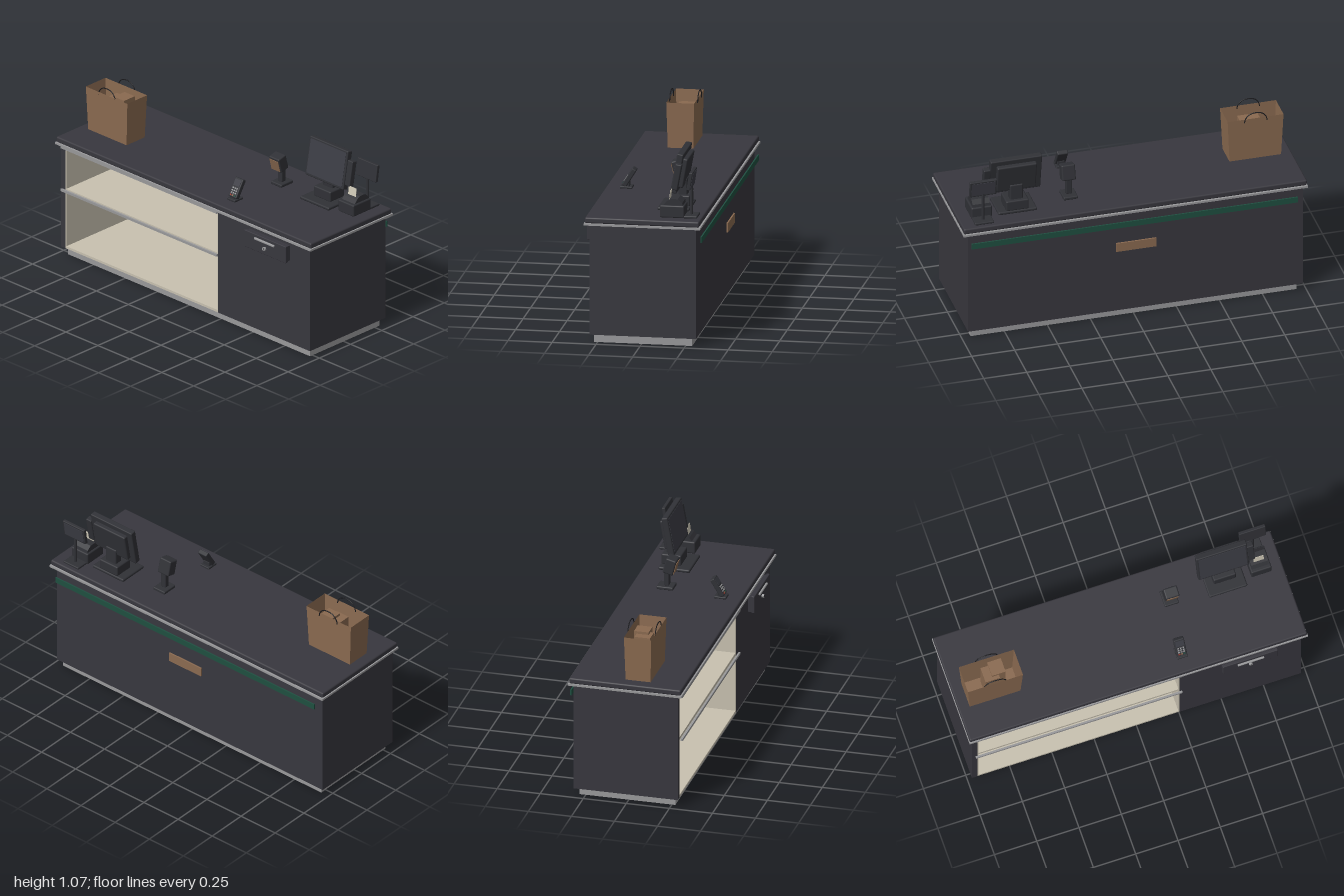
import * as THREE from 'three';
import { RoundedBoxGeometry } from 'three/addons/geometries/RoundedBoxGeometry.js';

const mat = (name, color, side = THREE.FrontSide) => {
  const m = new THREE.MeshStandardMaterial({ color, side });
  m.name = name;
  return m;
};

export function createModel() {
  const root = new THREE.Group();
  root.name = 'checkoutCounter';
  const charcoal = mat('charcoal', 0x38373e);
  const device = mat('devicePlastic', 0x303136);
  const screenMat = mat('screenGlass', 0x3b3c44);
  const cream = mat('creamLining', 0xc8c1b0);
  const steel = mat('steel', 0x98989a);
  const kraft = mat('kraftPaper', 0x8a6a50, THREE.DoubleSide);
  const green = mat('greenStripe', 0x1f4f40);
  const black = mat('blackCord', 0x1b1b1e);
  const paper = mat('receiptPaper', 0xd0cab8, THREE.DoubleSide);
  const red = mat('redKey', 0xa03a30);

  const add = (parent, name, geo, material) => {
    const m = new THREE.Mesh(geo, material);
    m.name = name;
    parent.add(m);
    return m;
  };
  // Box given by its limits on each axis, with optional rounding
  const box = (parent, name, material, [x0, x1], [y0, y1], [z0, z1], r = 0) => {
    const s = [x1 - x0, y1 - y0, z1 - z0];
    const geo = r ? new RoundedBoxGeometry(...s, 2, r) : new THREE.BoxGeometry(...s);
    const m = add(parent, name, geo, material);
    m.position.set((x0 + x1) / 2, (y0 + y1) / 2, (z0 + z1) / 2);
    return m;
  };
  const group = (name, x, y, z, tilt = 0, parent = root) => {
    const g = new THREE.Group();
    g.name = name;
    g.position.set(x, y, z);
    g.rotation.x = tilt;
    parent.add(g);
    return g;
  };

  // Plinth, worktop and the trim under it
  box(root, 'plinth', steel, [-0.947, 0.947], [0, 0.046], [-0.287, 0.27]);
  box(root, 'worktop', charcoal, [-0.997, 0.997], [0.695, 0.729], [-0.334, 0.315], 0.009);
  box(root, 'worktopTrim', steel, [-1, 1], [0.683, 0.695], [-0.34, 0.32]);

  // Cabinet carcass
  const cabinet = group('cabinet', 0, 0, 0);
  box(cabinet, 'closedCabinet', charcoal, [0.25, 0.968], [0.046, 0.683], [-0.312, 0.293]);
  box(cabinet, 'sidePanel', charcoal, [-0.978, -0.945], [0.046, 0.683], [-0.312, 0.293]);
  box(cabinet, 'backPanel', charcoal, [-0.945, 0.25], [0.046, 0.683], [-0.312, -0.295]);

  // Cream-lined open shelving
  const shelving = group('openShelving', 0, 0, 0);
  const zIn = [-0.295, 0.292], xIn = [-0.945, 0.25];
  box(shelving, 'shelfBack', cream, xIn, [0.046, 0.683], [-0.295, -0.288]);
  box(shelving, 'shelfFloor', cream, xIn, [0.046, 0.06], zIn);
  box(shelving, 'shelfCeiling', cream, xIn, [0.672, 0.683], zIn);
  box(shelving, 'middleShelf', cream, xIn, [0.398, 0.416], zIn);
  box(shelving, 'shelfLeftLining', cream, [-0.945, -0.938], [0.046, 0.683], zIn);
  box(shelving, 'shelfRightLining', cream, [0.243, 0.25], [0.046, 0.683], zIn);
  for (const y of [0.403, 0.669])
    box(shelving, 'shelfEdgeRail', steel, [-0.96, 0.26], [y, y + 0.014], [0.305, 0.316]);

  // Cash drawer with handle and lock
  const drawer = group('cashDrawer', 0, 0, 0);
  box(drawer, 'drawerBody', charcoal, [0.497, 0.812], [0.558, 0.65], [0.29, 0.318]);
  box(drawer, 'drawerFront', charcoal, [0.492, 0.818], [0.553, 0.656], [0.314, 0.333], 0.004);
  box(drawer, 'drawerHandle', steel, [0.578, 0.734], [0.627, 0.64], [0.333, 0.345], 0.004);
  const lock = add(drawer, 'drawerLock', new THREE.CylinderGeometry(0.011, 0.011, 0.014, 20), steel);
  lock.position.set(0.655, 0.592, 0.338);
  lock.rotation.x = Math.PI / 2;
  box(drawer, 'keySlot', black, [0.653, 0.657], [0.586, 0.598], [0.345, 0.346]);

  // Details on the customer side
  box(root, 'customerStripe', green, [-0.94, 0.955], [0.598, 0.632], [-0.342, -0.334]);
  box(root, 'woodenPlaque', kraft, [-0.117, 0.117], [0.45, 0.504], [-0.349, -0.34]);

  // Open paper bag, wider at the rim
  const bag = group('paperBag', -0.783, 0.729, 0.05);
  const bagGeo = new THREE.BoxGeometry(0.3, 0.263, 0.145);
  bagGeo.setIndex([...bagGeo.index.array].filter((_, i) => i < 12 || i >= 18)); // leave the top open
  bagGeo.clearGroups();
  const p = bagGeo.attributes.position;
  for (let i = 0; i < p.count; i++)
    if (p.getY(i) > 0) p.setXYZ(i, p.getX(i) * 1.083, p.getY(i), p.getZ(i) * 1.09);
  bagGeo.computeVertexNormals();
  add(bag, 'bagWalls', bagGeo, kraft).position.y = 0.1325;
  box(bag, 'bagContentsA', kraft, [-0.045, 0.04], [0.005, 0.22], [-0.05, 0.04]);
  box(bag, 'bagContentsB', kraft, [0.0, 0.08], [0.005, 0.235], [-0.065, 0.02]);
  for (const z of [-0.083, 0.076]) {
    const arc = new THREE.CatmullRomCurve3([[-0.066, 0.245], [-0.06, 0.268], [-0.038, 0.293], [0, 0.302],
      [0.038, 0.293], [0.06, 0.268], [0.066, 0.245]].map(([x, y]) => new THREE.Vector3(x, y, z)));
    add(bag, 'bagHandle', new THREE.TubeGeometry(arc, 24, 0.003, 6), black);
  }

  // Card terminal leaning on its cradle
  const terminal = group('cardTerminal', 0.289, 0, 0);
  box(terminal, 'terminalBase', device, [-0.032, 0.032], [0.729, 0.742], [0.162, 0.232], 0.004);
  box(terminal, 'terminalCradle', device, [-0.022, 0.022], [0.738, 0.768], [0.178, 0.215], 0.005);
  const pad = group('terminalBody', 0, 0.793, 0.18, -0.55, terminal);
  box(pad, 'terminalCase', device, [-0.031, 0.031], [-0.058, 0.058], [-0.014, 0.014], 0.006);
  box(pad, 'terminalScreen', screenMat, [-0.024, 0.024], [0.01, 0.048], [0.013, 0.016]);
  for (let r = 0; r < 4; r++)
    for (let c = 0; c < 3; c++) {
      const x = -0.02 + c * 0.015, y = -0.05 + r * 0.014;
      const m = r ? steel : [red, kraft, green][c];
      box(pad, 'terminalKey', m, [x, x + 0.01], [y, y + 0.008], [0.013, 0.0165]);
    }

  // Barcode scanner on a stand
  const scanner = group('scanner', 0.333, 0, 0);
  box(scanner, 'scannerBase', device, [-0.042, 0.042], [0.729, 0.748], [-0.182, -0.085], 0.006);
  box(scanner, 'scannerStem', device, [-0.018, 0.018], [0.745, 0.85], [-0.145, -0.115], 0.006);
  const head = group('scannerHead', 0, 0.872, -0.108, 0.26, scanner);
  box(head, 'scannerCase', device, [-0.04, 0.04], [-0.046, 0.046], [-0.03, 0.032], 0.008);
  box(head, 'scannerWindow', kraft, [-0.033, 0.033], [-0.038, 0.032], [0.031, 0.035]);

  // Touch monitor
  const monitor = group('monitor', 0.658, 0, 0);
  box(monitor, 'monitorBase', device, [-0.113, 0.113], [0.729, 0.748], [-0.24, -0.058], 0.008);
  box(monitor, 'monitorFoot', device, [-0.066, 0.066], [0.745, 0.808], [-0.235, -0.12], 0.008);
  box(monitor, 'monitorNeck', device, [-0.038, 0.038], [0.8, 0.9], [-0.215, -0.165], 0.008);
  const panel = group('monitorPanel', 0, 0.957, -0.157, -0.18, monitor);
  box(panel, 'monitorFrame', device, [-0.15, 0.15], [-0.115, 0.115], [-0.036, 0], 0.006);
  box(panel, 'monitorScreen', screenMat, [-0.138, 0.138], [-0.1, 0.103], [-0.002, 0.002]);
  box(panel, 'monitorHousing', device, [-0.115, 0.115], [-0.085, 0.085], [-0.062, -0.03], 0.008);
  box(panel, 'sideCardReader', device, [0.148, 0.188], [-0.085, 0.065], [-0.042, -0.006], 0.006);

  // Receipt printer with sloped lid and paper
  const printer = group('receiptPrinter', 0.867, 0, 0);
  box(printer, 'printerBase', device, [-0.06, 0.06], [0.729, 0.8], [-0.238, -0.098], 0.008);
  const lid = new THREE.Shape([[0.115, 0.795], [0.135, 0.82], [0.158, 0.836], [0.2, 0.836], [0.225, 0.815],
    [0.23, 0.795]].map(([a, b]) => new THREE.Vector2(a, b)));
  const lidMesh = add(printer, 'printerLid', new THREE.ExtrudeGeometry(lid, { depth: 0.1, bevelEnabled: false }), device);
  lidMesh.rotation.y = Math.PI / 2;
  lidMesh.position.x = -0.05;
  const receipt = group('receipt', 0, 0.845, -0.15, -0.12, printer);
  box(receipt, 'receiptSlip', paper, [-0.03, 0.03], [-0.035, 0.033], [-0.001, 0.001]);

  // Customer display on a pole
  const display = group('customerDisplay', 0.87, 0, 0);
  box(display, 'displayBase', device, [-0.055, 0.055], [0.729, 0.743], [-0.31, -0.22], 0.005);
  const pole = add(display, 'displayPole', new THREE.CylinderGeometry(0.009, 0.009, 0.19, 16), device);
  pole.position.set(0, 0.835, -0.269);
  const sign = group('displayHead', 0, 0.947, -0.271, -0.15, display);
  box(sign, 'displayCase', device, [-0.078, 0.078], [-0.051, 0.051], [-0.01, 0.01], 0.004);
  box(sign, 'displayScreen', screenMat, [-0.068, 0.068], [-0.041, 0.041], [-0.012, -0.009]);

  return root;
}
